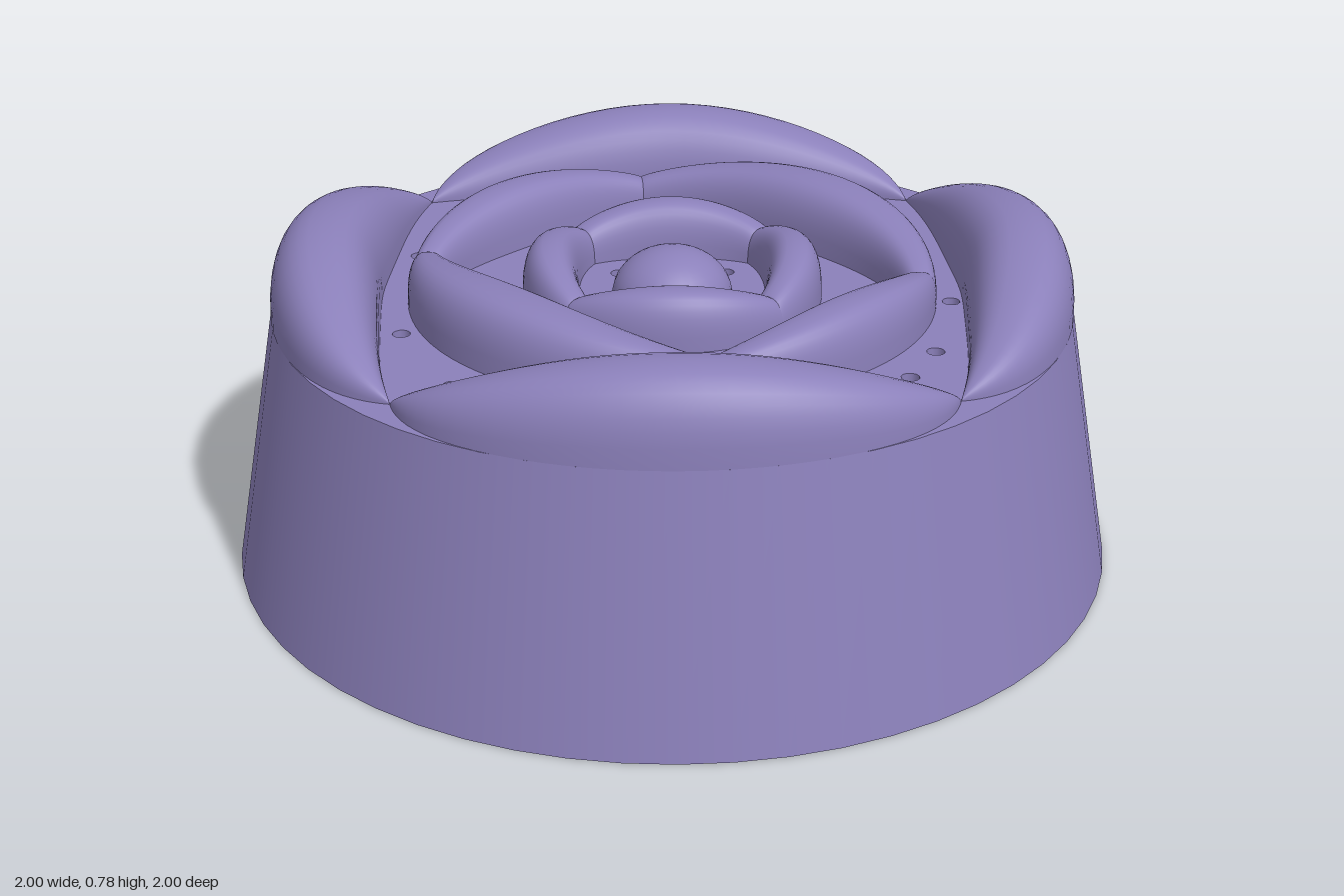
import * as THREE from 'three';
import { mergeGeometries } from 'three/addons/utils/BufferGeometryUtils.js';

const FLOOR = 0.6, BASE_R = 1, TOP_R = 0.895, SIDES = 56, HOLE_R = 0.02;

// Drain hole centres as x, z
const HOLES = [
  [-0.02, -0.66], [-0.17, -0.62], [0.22, -0.59], [-0.38, -0.51], [0.48, -0.4],
  [-0.01, -0.37], [-0.58, -0.27], [-0.34, -0.25], [0.32, -0.27], [0, -0.175],
  [0.63, -0.16], [0.375, -0.035], [-0.68, 0], [-0.39, 0], [-0.17, 0], [0.175, 0],
  [0.675, -0.02], [0, 0.17], [-0.58, 0.25], [-0.34, 0.265], [0.32, 0.255],
  [0.01, 0.36], [0.6, 0.21], [0.4, 0.48], [-0.26, 0.575], [0.02, 0.675],
];

// Disc pierced by the drain holes; facing +1 is up, -1 is down
function piercedDisc(radius, y, facing) {
  const shape = new THREE.Shape();
  shape.setFromPoints(Array.from({ length: SIDES }, (_, i) => {
    const a = (i / SIDES) * Math.PI * 2;
    return new THREE.Vector2(Math.sin(a) * radius, Math.cos(a) * radius);
  }));
  for (const [x, z] of HOLES) {
    const hole = new THREE.Path();
    hole.absarc(x, -facing * z, HOLE_R, 0, Math.PI * 2, true);
    shape.holes.push(hole);
  }
  return new THREE.ShapeGeometry(shape, 6).rotateX(-facing * Math.PI / 2).translate(0, y, 0);
}

// Rolled petal swept from angle a0 to a1 (degrees, from +x towards +z).
// section(s) gives outer radius, inner radius and height; s is 0 at the ends, 1 in the middle.
function petalGeometry(a0, a1, section, round) {
  const N = 40, M = 18, pos = [], index = [];
  for (let i = 0; i <= N; i++) {
    // Samples gather towards the ends
    const t = (1 - Math.cos((i / N) * Math.PI)) / 2;
    const a = THREE.MathUtils.degToRad(a0 + (a1 - a0) * t);
    const { outer, inner, height } = section(Math.max(0, Math.sin(Math.PI * t)));
    for (let j = 0; j <= M; j++) {
      const q = (j / M) * Math.PI, c = Math.cos(q);
      const across = Math.sign(c) * Math.abs(c) ** round;
      const r = (outer + inner) / 2 + ((outer - inner) / 2) * across;
      const y = FLOOR + height * Math.max(0, Math.sin(q)) ** round;
      pos.push(r * Math.cos(a), y, r * Math.sin(a));
      if (i < N && j < M) {
        const k = i * (M + 1) + j, n = k + M + 1;
        index.push(k, k + 1, n, k + 1, n + 1, n);
      }
    }
  }
  const g = new THREE.BufferGeometry();
  g.setAttribute('position', new THREE.Float32BufferAttribute(pos, 3));
  g.setIndex(index);
  g.computeVertexNormals();
  return g;
}

export function createModel() {
  const model = new THREE.Group();
  model.name = 'roseDish';
  const lilac = new THREE.MeshStandardMaterial({ color: 0x8b80ba });
  lilac.name = 'lilac';
  const add = (name, geometry, parent = model) => {
    const mesh = new THREE.Mesh(geometry, lilac);
    mesh.name = name;
    parent.add(mesh);
    return mesh;
  };

  // Tapered body with pierced floor and underside
  add('bodyWall', new THREE.CylinderGeometry(TOP_R, BASE_R, FLOOR, SIDES, 1, true).translate(0, FLOOR / 2, 0));
  add('floor', piercedDisc(TOP_R, FLOOR, 1));
  add('underside', piercedDisc(BASE_R, 0, -1));

  // Inward-facing tubes through the body
  const tube = new THREE.LatheGeometry(
    [new THREE.Vector2(HOLE_R, FLOOR), new THREE.Vector2(HOLE_R, 0)], 12);
  add('drainHoles', mergeGeometries(HOLES.map(([x, z]) => tube.clone().translate(x, 0, z))));

  const rings = ['outerPetals', 'middlePetals', 'innerPetals'].map((name) => {
    const g = new THREE.Group();
    g.name = name;
    model.add(g);
    return g;
  });

  for (let k = 0; k < 4; k++) {
    // Outer petals run down to a point at the four notches
    add('outerPetal', petalGeometry(k * 90, k * 90 + 90, (s) => ({
      outer: TOP_R - 0.07 * (1 - s) ** 4,
      inner: 0.65 + 0.175 * (1 - s) ** 1.3,
      height: 0.183 * s ** 0.75,
    }), 0.8), rings[0]);

    // Middle petals alternate between short (sides) and long (front, back)
    const half = k % 2 ? 52 : 38;
    const mid = k % 2 ? 0.4 : 0.44;
    const top = k % 2 ? 0.15 : 0.135;
    add('middlePetal', petalGeometry(k * 90 - half, k * 90 + half, (s) => ({
      outer: 0.592,
      inner: mid + (0.515 - mid) * (1 - s),
      height: 0.075 + (top - 0.075) * s ** 0.8,
    }), 0.7), rings[1]);

    // Inner petals meet on the axes
    add('innerPetal', petalGeometry(k * 90, k * 90 + 90, (s) => ({
      outer: 0.336,
      inner: 0.21 + 0.04 * (1 - s),
      height: 0.075 + 0.05 * s ** 0.8,
    }), 0.75), rings[2]);
  }

  // Central bud
  const bud = add('bud', new THREE.SphereGeometry(0.135, 32, 12, 0, Math.PI * 2, 0, Math.PI / 2));
  bud.scale.y = 0.8;
  bud.position.y = FLOOR;

  return model;
}
